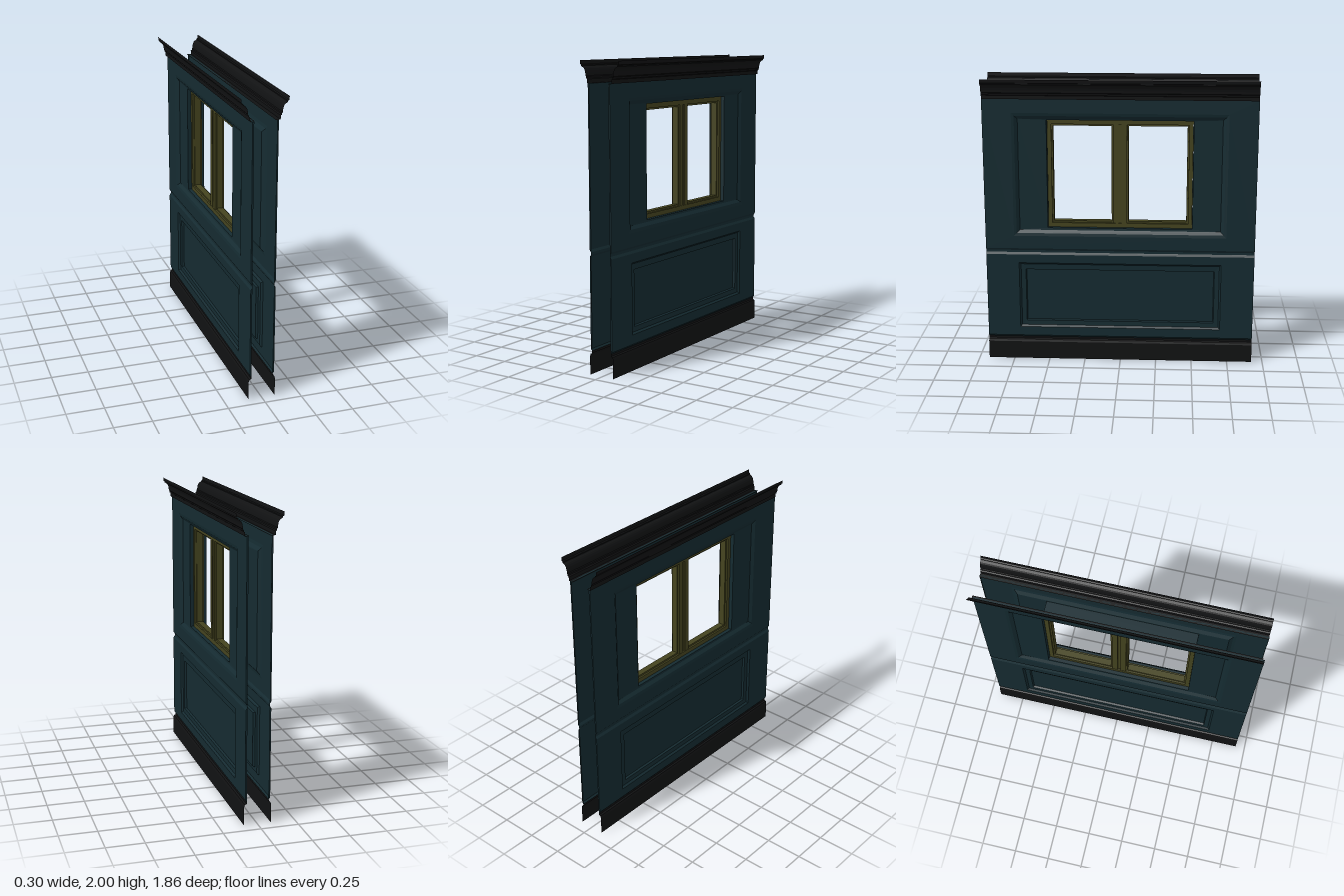
import * as THREE from 'three';

const mat = (color) => new THREE.MeshStandardMaterial({ color, side: THREE.DoubleSide, roughness: 0.9 });
const teal = mat(0x152b31), black = mat(0x111213), olive = mat(0x45441f);

// Flat-shaded mesh from quads whose corners run counter-clockwise
function quadMesh(name, quads, material) {
  const pos = [];
  for (const [a, b, c, d] of quads) pos.push(...a, ...b, ...c, ...a, ...c, ...d);
  const g = new THREE.BufferGeometry();
  g.setAttribute('position', new THREE.Float32BufferAttribute(pos, 3));
  g.computeVertexNormals();
  const m = new THREE.Mesh(g, material);
  m.name = name;
  return m;
}

// Nested rectangles [halfWidth, bottom, top, depth] joined into a moulded panel
function panel(name, rects, capped) {
  const rings = rects.map(([w, y0, y1, d]) => [[-w, y0, d], [w, y0, d], [w, y1, d], [-w, y1, d]]);
  const quads = [];
  for (let r = 0; r < rings.length - 1; r++) {
    for (let i = 0; i < 4; i++) {
      const j = (i + 1) % 4;
      quads.push([rings[r][i], rings[r][j], rings[r + 1][j], rings[r + 1][i]]);
    }
  }
  if (capped) quads.push(rings[rings.length - 1]);
  return quadMesh(name, quads, teal);
}

// Open profile of [depth, height] points, bottom to top, swept along the wall
function moulding(name, pts, w, material) {
  const quads = [];
  for (let i = 0; i < pts.length - 1; i++) {
    const [d0, y0] = pts[i], [d1, y1] = pts[i + 1];
    quads.push([[-w, y0, d0], [w, y0, d0], [w, y1, d1], [-w, y1, d1]]);
  }
  return quadMesh(name, quads, material);
}

// One wall skin, facing local +z
function wallSide() {
  const side = new THREE.Group();
  const W = 0.927;
  // Upper panel with window opening and half of the reveal
  side.add(panel('upperPanel', [
    [W, 0.8, 1.86, 0.073], [W, 0.815, 1.86, 0.083],
    [0.73, 0.905, 1.765, 0.083], [0.712, 0.925, 1.745, 0.079],
    [0.69, 0.945, 1.722, 0.063], [0.496, 0.96, 1.715, 0.061],
    [0.496, 0.96, 1.715, 0],
  ], false));
  // Lower panel with stepped recess
  side.add(panel('lowerPanel', [
    [W, 0.16, 0.785, 0.073], [W, 0.172, 0.77, 0.083],
    [0.7, 0.235, 0.71, 0.083], [0.688, 0.247, 0.698, 0.07],
    [0.655, 0.28, 0.658, 0.068], [0.65, 0.285, 0.653, 0.053],
  ], true));
  // Groove between the panels
  side.add(moulding('groove', [[0.073, 0.785], [0.073, 0.8]], W, teal));
  // Baseboard
  side.add(moulding('baseboard', [[0.09, 0], [0.09, 0.125], [0.085, 0.14], [0.073, 0.145], [0.073, 0.16]], W, black));
  // Cornice with fillets and a curved cove
  const cornice = [[0.065, 1.86], [0.095, 1.86], [0.095, 1.885], [0.103, 1.89], [0.103, 1.9]];
  for (let i = 0; i <= 5; i++) {
    const a = (i / 5) * Math.PI / 2;
    cornice.push([0.133 - 0.025 * Math.cos(a), 1.905 + 0.055 * Math.sin(a)]);
  }
  cornice.push([0.14, 1.965], [0.14, 1.972], [0.148, 1.976], [0.15, 2]);
  side.add(moulding('cornice', cornice, 0.925, black));
  return side;
}

// Box given by its horizontal, vertical and half-depth limits
function bar(parent, name, x0, x1, y0, y1, d) {
  const m = new THREE.Mesh(new THREE.BoxGeometry(x1 - x0, y1 - y0, 2 * d), olive);
  m.position.set((x0 + x1) / 2, (y0 + y1) / 2, 0);
  m.name = name;
  parent.add(m);
}

function windowFrame() {
  const g = new THREE.Group();
  g.name = 'windowFrame';
  bar(g, 'sill', -0.522, 0.522, 0.91, 0.958, 0.022);
  bar(g, 'bottomRail', -0.494, 0.494, 0.958, 0.99, 0.035);
  bar(g, 'bottomBead', -0.494, 0.494, 0.99, 1.002, 0.022);
  bar(g, 'topRail', -0.494, 0.494, 1.682, 1.714, 0.035);
  bar(g, 'topBead', -0.494, 0.494, 1.67, 1.682, 0.022);
  for (const s of [-1, 1]) {
    const upright = (name, a, b, d) =>
      bar(g, name, Math.min(s * a, s * b), Math.max(s * a, s * b), 0.99, 1.682, d);
    upright('outerStile', 0.466, 0.494, 0.035);
    upright('outerBead', 0.455, 0.466, 0.022);
    upright('meetingStile', 0.01, 0.048, 0.033);
    upright('meetingBead', 0.048, 0.058, 0.022);
  }
  bar(g, 'centreStrip', -0.01, 0.01, 0.99, 1.682, 0.024);
  return g;
}

export function createModel() {
  const model = new THREE.Group();
  // Two matching skins, back to back
  for (const s of [1, -1]) {
    const side = wallSide();
    side.name = s > 0 ? 'leftWall' : 'rightWall';
    side.rotation.y = s * Math.PI / 2;
    side.position.z = 0.004;
    // The right cornice sits slightly further back
    if (s < 0) side.getObjectByName('cornice').position.x = -0.009;
    model.add(side);
  }
  const frame = windowFrame();
  frame.rotation.y = Math.PI / 2;
  frame.position.z = 0.004;
  model.add(frame);
  return model;
}
